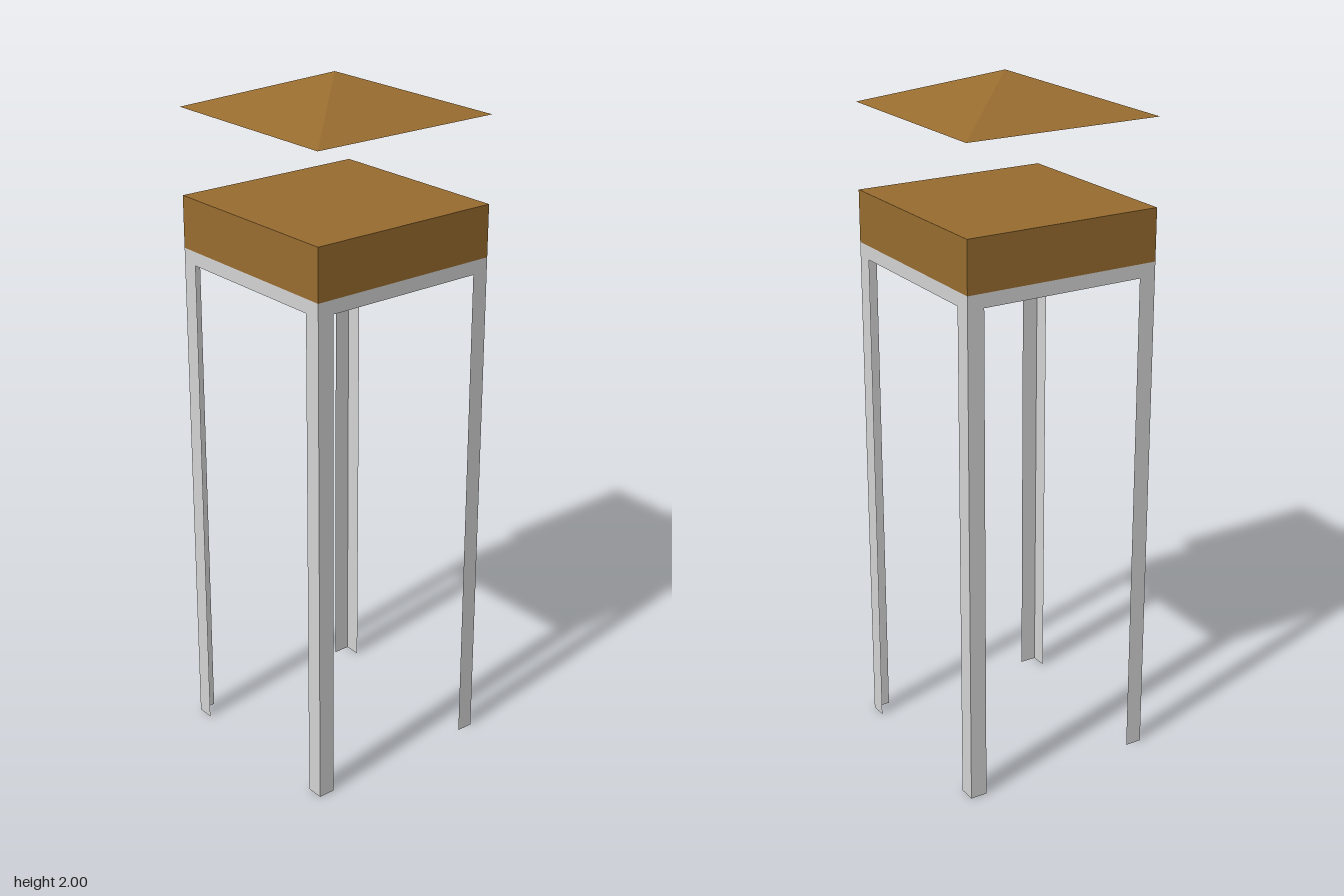
import * as THREE from 'three';

const HALF = 0.295;        // half the width of the tower
const LEG_TOP = 1.5;       // underside of the wooden block
const LEG_WIDTH = 0.05;    // flange width of the angle legs
const RAIL = 0.04;         // height of the top rail
const BLOCK = 0.15;
const ROOF_BASE = 1.895;
const ROOF_TOP = 2;

export function createModel() {
  const metal = new THREE.MeshStandardMaterial({ color: 0xd4d4d4, side: THREE.DoubleSide });
  metal.name = 'grey metal';
  const wood = new THREE.MeshStandardMaterial({ color: 0x986c2f, flatShading: true });
  wood.name = 'brown wood';

  const model = new THREE.Group();
  model.name = 'tower';

  const add = (parent, name, geometry, material, x, y, z) => {
    const mesh = new THREE.Mesh(geometry, material);
    mesh.name = name;
    mesh.position.set(x, y, z);
    parent.add(mesh);
    return mesh;
  };

  // Thin sheet frame: two leg flanges and a rail per side, meeting as L-shaped legs
  const flange = new THREE.PlaneGeometry(LEG_WIDTH, LEG_TOP);
  const rail = new THREE.PlaneGeometry(2 * (HALF - LEG_WIDTH), RAIL);
  for (let i = 0; i < 4; i++) {
    const side = new THREE.Group();
    side.name = 'frameSide' + (i + 1);
    side.rotation.y = i * Math.PI / 2;
    for (const s of [-1, 1]) {
      add(side, 'legFlange', flange, metal, s * (HALF - LEG_WIDTH / 2), LEG_TOP / 2, HALF);
    }
    add(side, 'topRail', rail, metal, 0, LEG_TOP - RAIL / 2, HALF);
    model.add(side);
  }

  // Metal panel under the block
  const panel = new THREE.PlaneGeometry(2 * HALF, 2 * HALF).rotateX(Math.PI / 2);
  add(model, 'bottomPanel', panel, metal, 0, LEG_TOP - 0.002, 0);

  // Wooden block
  add(model, 'block', new THREE.BoxGeometry(2 * HALF, BLOCK, 2 * HALF), wood, 0, LEG_TOP + BLOCK / 2, 0);

  // Floating pyramid roof with a closed base
  const roofHeight = ROOF_TOP - ROOF_BASE;
  const roof = new THREE.ConeGeometry(HALF * Math.SQRT2, roofHeight, 4).rotateY(Math.PI / 4);
  add(model, 'roof', roof, wood, 0, ROOF_BASE + roofHeight / 2, 0);

  return model;
}
